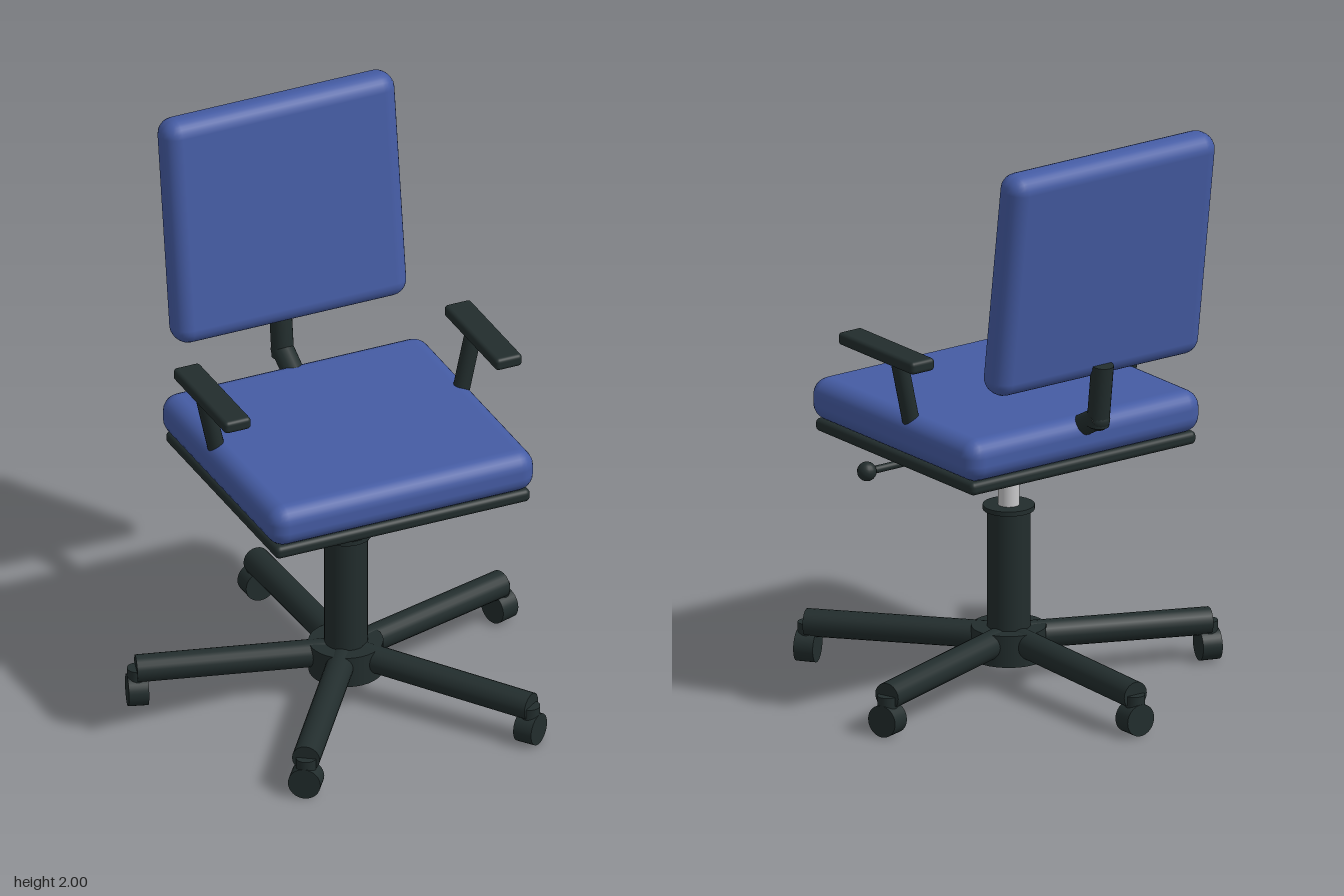
import * as THREE from 'three';
import { RoundedBoxGeometry } from 'three/addons/geometries/RoundedBoxGeometry.js';

const fabric = new THREE.MeshStandardMaterial({ name: 'blueFabric', color: 0x455ca4 });
const plastic = new THREE.MeshStandardMaterial({ name: 'darkPlastic', color: 0x222d2d });
const metal = new THREE.MeshStandardMaterial({ name: 'paleMetal', color: 0xc8c8ca });

const AXIS_Z = 0.058; // the column stands slightly ahead of the centre

export function createModel() {
  const chair = new THREE.Group();
  chair.name = 'officeChair';

  const add = (name, geometry, material, x = 0, y = 0, z = 0, parent = chair) => {
    const mesh = new THREE.Mesh(geometry, material);
    mesh.name = name;
    mesh.position.set(x, y, z);
    parent.add(mesh);
    return mesh;
  };
  const cushion = (w, h, d, r) => new RoundedBoxGeometry(w, h, d, 3, r);

  // Round bar between two points
  const bar = (name, from, to, r, parent = chair) => {
    const a = new THREE.Vector3(...from), b = new THREE.Vector3(...to);
    const dir = b.clone().sub(a);
    const mid = a.clone().add(b).multiplyScalar(0.5);
    const mesh = add(name, new THREE.CylinderGeometry(r, r, dir.length(), 20), plastic, mid.x, mid.y, mid.z, parent);
    mesh.quaternion.setFromUnitVectors(new THREE.Vector3(0, 1, 0), dir.normalize());
    return mesh;
  };

  // Seat and the pan beneath it
  add('seatCushion', cushion(0.974, 0.148, 0.918, 0.06), fabric, 0, 0.966, 0.074);
  add('seatPan', cushion(0.936, 0.046, 0.88, 0.018), plastic, 0, 0.873, 0.075);
  add('tiltMechanism', cushion(0.354, 0.06, 0.356, 0.008), plastic, 0, 0.834, AXIS_Z);

  // Backrest leaning backwards on a bent support
  const back = add('backrest', cushion(0.854, 0.805, 0.125, 0.057), fabric, 0, 1.6, -0.445);
  back.rotation.x = -THREE.MathUtils.degToRad(7.7);
  bar('backSupportLower', [0, 0.875, -0.11], [0, 1.062, -0.452], 0.038);
  bar('backSupportUpright', [0, 1.03, -0.437], [0, 1.248, -0.463], 0.038);
  add('backSupportElbow', new THREE.SphereGeometry(0.038, 16, 12), plastic, 0, 1.05, -0.442);

  // Armrests
  for (const [side, s] of [['left', 1], ['right', -1]]) {
    bar(side + 'ArmPost', [s * 0.446, 1.0, 0], [s * 0.5, 1.245, 0], 0.029);
    add(side + 'ArmPad', cushion(0.098, 0.044, 0.416, 0.014), plastic, s * 0.498, 1.252, 0.072);
  }

  // Height lever
  bar('leverRod', [0.1, 0.828, 0.12], [0.5, 0.802, 0.178], 0.013);
  add('leverKnob', new THREE.SphereGeometry(0.033, 16, 12), plastic, 0.5, 0.803, 0.178);

  // Gas lift column
  const tube = (r, h) => new THREE.CylinderGeometry(r, r, h, 32);
  add('gasPiston', tube(0.036, 0.25), metal, 0, 0.71, AXIS_Z);
  add('columnCollar', tube(0.087, 0.016), plastic, 0, 0.613, AXIS_Z);
  add('column', tube(0.073, 0.45), plastic, 0, 0.39, AXIS_Z);

  // Five-star base
  add('baseHub', tube(0.125, 0.11), plastic, 0, 0.142, AXIS_Z);
  for (let i = 0; i < 5; i++) {
    const leg = new THREE.Group();
    leg.name = 'baseLeg' + (i + 1);
    leg.position.z = AXIS_Z;
    leg.rotation.y = Math.PI + (i * Math.PI * 2) / 5;
    bar('legBar', [0, 0.157, 0.04], [0, 0.137, 0.704], 0.047, leg);
    add('casterStem', tube(0.034, 0.08), plastic, 0, 0.1, 0.7, leg);
    add('casterWheel', tube(0.055, 0.068), plastic, 0, 0.057, 0.7, leg).rotation.x = Math.PI / 2;
    chair.add(leg);
  }
  return chair;
}
